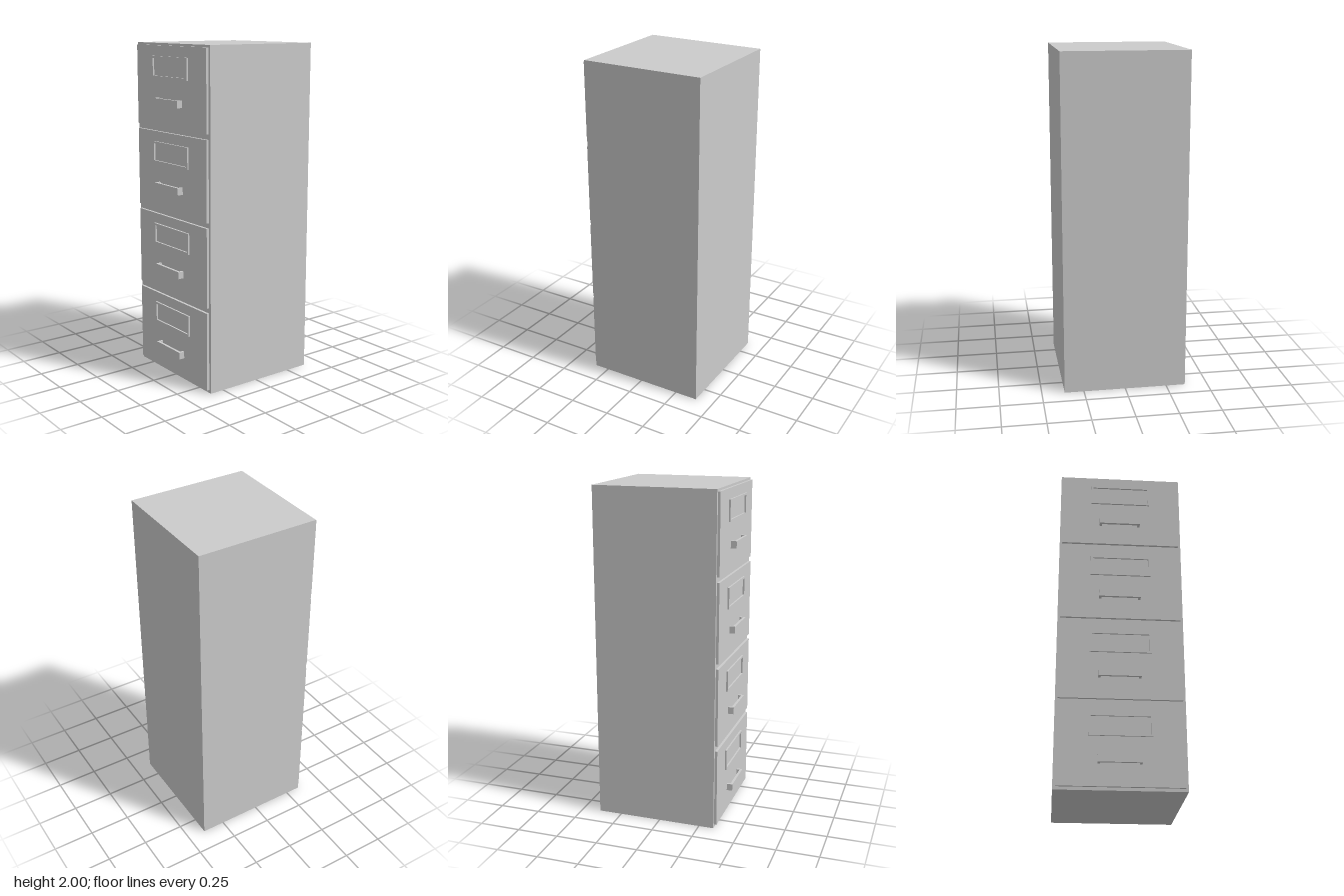
import * as THREE from 'three';

const material = new THREE.MeshStandardMaterial({ color: 0xcccccc });

function part(name, geometry) {
  const mesh = new THREE.Mesh(geometry, material);
  mesh.name = name;
  return mesh;
}

// Box given by its lower and upper corners
function box(name, [x0, y0, z0], [x1, y1, z1]) {
  const mesh = part(name, new THREE.BoxGeometry(x1 - x0, y1 - y0, z1 - z0));
  mesh.position.set((x0 + x1) / 2, (y0 + y1) / 2, (z0 + z1) / 2);
  return mesh;
}

// Rectangular label frame, raised towards -x
function labelFrame() {
  const w = 0.178, y0 = 0.3, y1 = 0.426, b = 0.012;
  const rect = (target, a, c, d) => target.moveTo(-a, c).lineTo(a, c).lineTo(a, d).lineTo(-a, d).closePath();
  const shape = rect(new THREE.Shape(), w, y0, y1);
  shape.holes.push(rect(new THREE.Path(), w - b, y0 + b, y1 - b));
  const geometry = new THREE.ExtrudeGeometry(shape, { depth: 0.01, bevelEnabled: false });
  geometry.rotateY(-Math.PI / 2).translate(-0.355, 0, 0);
  return part('labelFrame', geometry);
}

// U-shaped pull handle, drawn in plan (x, z) and extruded over its height
function handle() {
  const plan = [
    [-0.355, -0.127], [-0.355, -0.113], [-0.375, -0.113], [-0.375, 0.102],
    [-0.355, 0.102], [-0.355, 0.116], [-0.39, 0.116], [-0.39, -0.127],
  ].map(([x, z]) => new THREE.Vector2(x, z));
  const geometry = new THREE.ExtrudeGeometry(new THREE.Shape(plan), { depth: 0.042, bevelEnabled: false });
  geometry.rotateX(Math.PI / 2).translate(0, 0.186, 0);
  return part('handle', geometry);
}

export function createModel() {
  const cabinet = new THREE.Group();
  cabinet.name = 'filingCabinet';
  cabinet.add(box('body', [-0.34, 0, -0.365], [0.39, 2, 0.365]));

  // Four identical drawers stacked on the -x side
  for (let i = 0; i < 4; i++) {
    const drawer = new THREE.Group();
    drawer.name = `drawer${i + 1}`;
    drawer.add(box('drawerFront', [-0.355, 0.018, -0.35], [-0.34, 0.487, 0.349]), labelFrame(), handle());
    drawer.position.y = i * 0.5;
    cabinet.add(drawer);
  }
  return cabinet;
}
